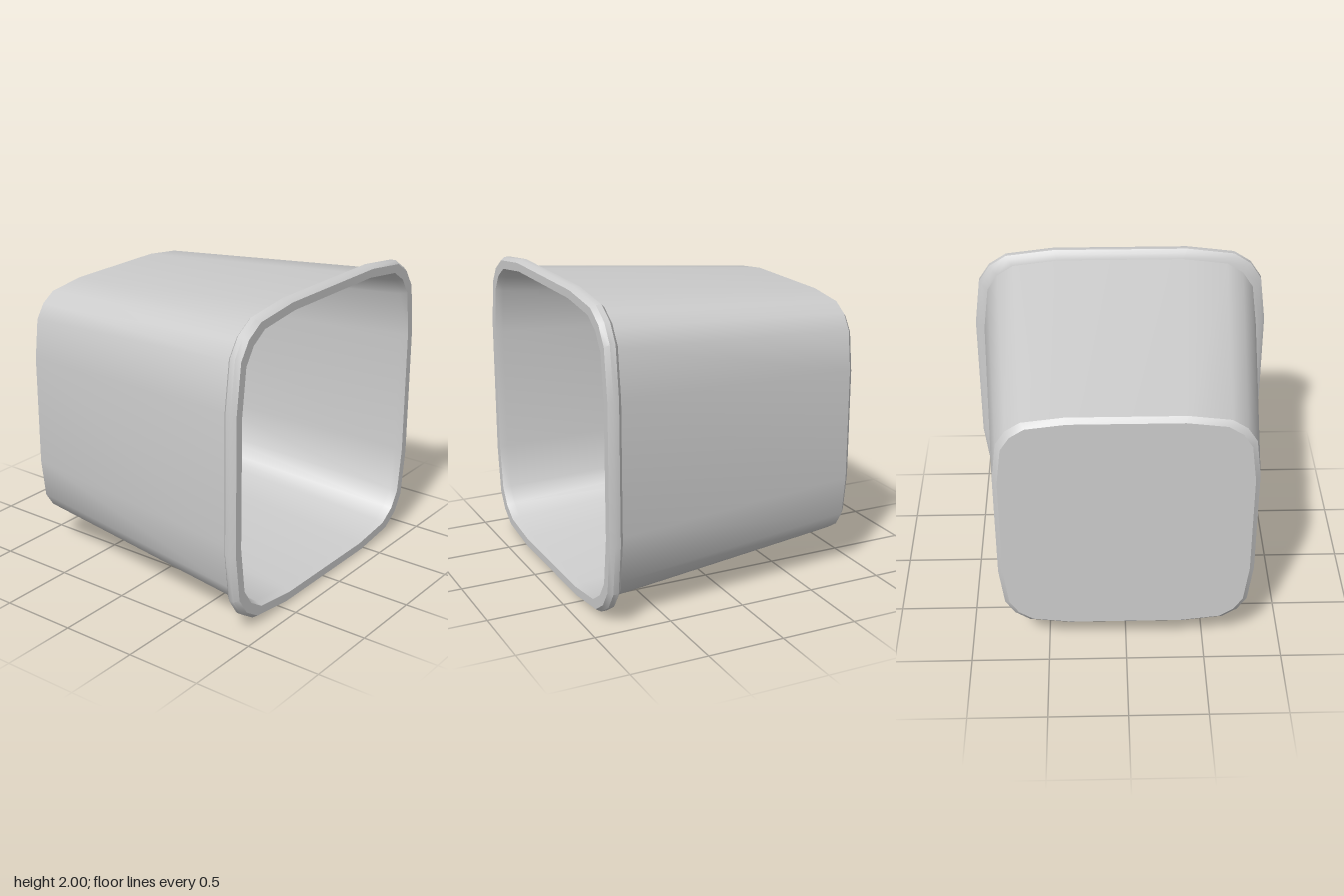
import * as THREE from 'three';
import { toCreasedNormals } from 'three/addons/utils/BufferGeometryUtils.js';

// One rounded corner of the unit cross-section, repeated four times
const corner = [[1, 0.45], [0.96, 0.77], [0.885, 0.885], [0.77, 0.96], [0.45, 1]];
const outline = [];
for (let q = 0; q < 4; q++) {
  for (const [x, y] of corner) {
    outline.push([[x, y], [-y, x], [-x, -y], [y, -x]][q]);
  }
}

// Skins a profile of [half size, z] pairs around the rounded square
function loft(profile) {
  const n = outline.length;
  const pos = [];
  const put = (i, j) => {
    const [s, z] = profile[i];
    const [x, y] = outline[j % n];
    pos.push(x * s, y * s + 1, z);
  };
  for (let i = 0; i < profile.length - 1; i++) {
    for (let j = 0; j < n; j++) {
      if (profile[i][0] > 0) { put(i, j); put(i, j + 1); put(i + 1, j + 1); }
      if (profile[i + 1][0] > 0) { put(i, j); put(i + 1, j + 1); put(i + 1, j); }
    }
  }
  const g = new THREE.BufferGeometry();
  g.setAttribute('position', new THREE.Float32BufferAttribute(pos, 3));
  return toCreasedNormals(g, 0.6);
}

export function createModel() {
  const group = new THREE.Group();
  group.name = 'squareTub';
  const grey = new THREE.MeshStandardMaterial({ color: 0xcccccc });
  grey.name = 'light grey';

  const add = (name, profile) => {
    const mesh = new THREE.Mesh(loft(profile), grey);
    mesh.name = name;
    group.add(mesh);
  };

  // Closed base with a small bevel and the tapering outer wall
  add('outerShell', [[0, -0.89], [0.775, -0.89], [0.805, -0.86], [0.94, 0.79]]);
  // Bevelled lip around the mouth
  add('rim', [[0.94, 0.79], [0.98, 0.803], [1, 0.825], [1, 0.86], [0.982, 0.89], [0.93, 0.89]]);
  // Inner wall and floor
  add('innerLining', [[0.93, 0.89], [0.917, 0.84], [0.77, -0.855], [0, -0.855]]);
  return group;
}
